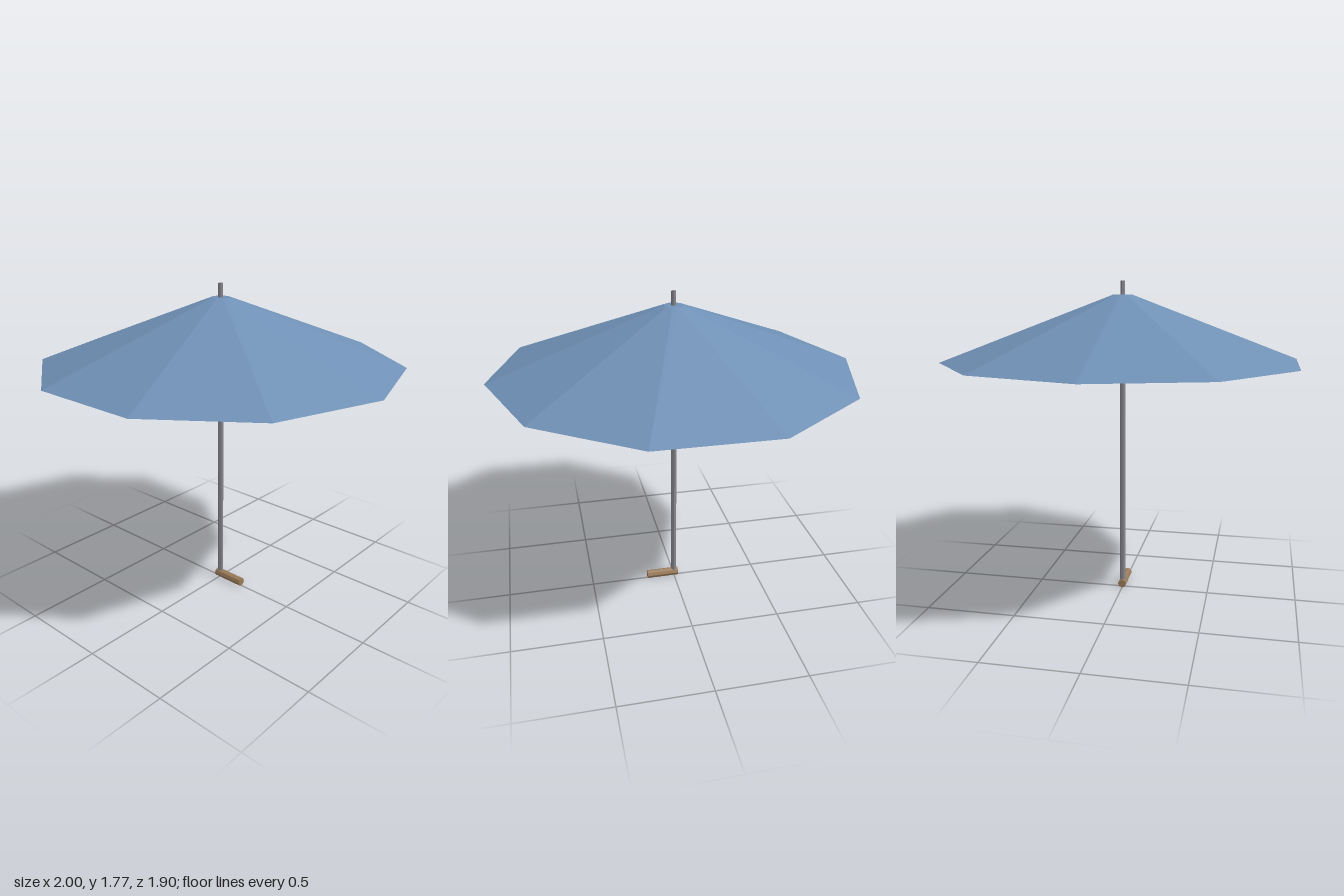
import * as THREE from 'three';

const material = (color) => new THREE.MeshStandardMaterial({ color, flatShading: true });

export function createModel() {
  const group = new THREE.Group();
  const metal = material(0x85858c);

  // Adds a prism or frustum spanning y0..y1
  function addColumn(name, rTop, rBottom, y0, y1, sides, mat, start = 0) {
    const geometry = new THREE.CylinderGeometry(rTop, rBottom, y1 - y0, sides, 1, false, start);
    geometry.translate(0, (y0 + y1) / 2, 0);
    const mesh = new THREE.Mesh(geometry, mat);
    mesh.name = name;
    group.add(mesh);
  }

  // Ten-panel canopy with a flat crown and underside, corners on the x axis
  addColumn('canopy', 0.054, 1, 1.34, 1.7, 10, material(0x6f90b5), Math.PI / 2);

  // Slim six-sided pole and the tip above the canopy
  addColumn('pole', 0.016, 0.016, 0.03, 1.69, 6, metal);
  addColumn('tip', 0.013, 0.013, 1.66, 1.775, 8, metal);

  // Wooden bar handle reaching out to the model's left
  const handleGeometry = new THREE.CylinderGeometry(0.024, 0.024, 0.19, 8);
  handleGeometry.rotateZ(Math.PI / 2);
  const handle = new THREE.Mesh(handleGeometry, material(0x9a7b58));
  handle.name = 'handle';
  handle.position.set(0.071, 0.024, 0);
  group.add(handle);

  return group;
}
